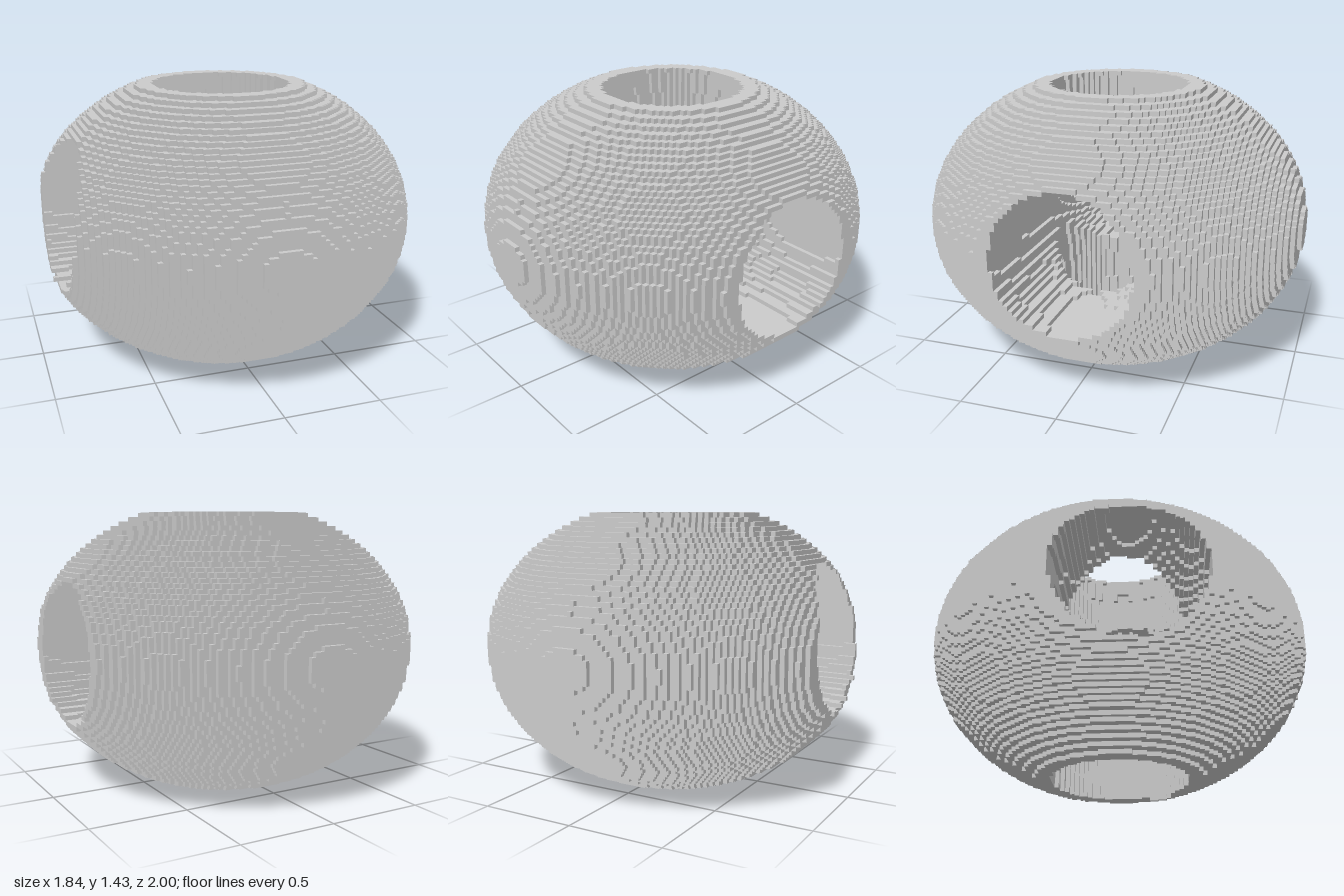
import * as THREE from 'three';

const V = 2 / 87;                 // edge of one cube
const CX = V / 2, CY = 31.5 * V;  // centre of the ellipsoid
const RX = 0.998, RY = 0.77;      // its horizontal and vertical radii

// Radius of a tunnel that bulges slightly between the core and the mouth
const bulge = (r, t) => r + 0.028 * Math.sin(Math.PI * t) ** 2;

// True where the cube at grid cell (i, j, k) is solid
function solid(i, j, k) {
  const x = i * V, y = j * V, z = k * V;
  if ((x * x + z * z) / (RX * RX) + (y * y) / (RY * RY) > 1) return false;
  // trimmed mouths of the side and upright tunnels
  if (i > 39 || i < -40 || j > 30 || j < -31) return false;
  // a few leftover cubes under the lower mouth
  if (j === -31 && (x < 0.04 || z < 0.14 || z > 0.27)) return false;
  // upright tunnel
  if (Math.hypot(x, z) < bulge(0.345, y / 0.96)) return false;
  // side tunnel, drifting up and forward and widening towards -x
  const s = THREE.MathUtils.clamp((0.6 - x) / 1.3, 0, 1);
  return Math.hypot(y - 0.07 * s, z - 0.09 * s) >= bulge(0.335 + 0.025 * s, x / 1.24);
}

// Outer faces of all the cubes
function cubeShell(nx, ny, nz) {
  const sx = 2 * nx + 1, sy = 2 * ny + 1, sz = 2 * nz + 1;
  const grid = new Uint8Array(sx * sy * sz);
  const at = (i, j, k) => ((i + nx) * sy + j + ny) * sz + k + nz;
  const each = (f) => {
    for (let i = -nx + 1; i < nx; i++)
      for (let j = -ny + 1; j < ny; j++)
        for (let k = -nz + 1; k < nz; k++) f(i, j, k);
  };
  each((i, j, k) => { grid[at(i, j, k)] = solid(i, j, k) ? 1 : 0; });

  const positions = [], normals = [], index = [];
  const corners = [[-1, -1], [1, -1], [1, 1], [-1, 1]];
  each((i, j, k) => {
    if (!grid[at(i, j, k)]) return;
    const c = [CX + i * V, CY + j * V, k * V];
    for (let axis = 0; axis < 3; axis++) {
      for (const side of [-1, 1]) {
        const n = [0, 0, 0];
        n[axis] = side;
        if (grid[at(i + n[0], j + n[1], k + n[2])]) continue;
        const first = positions.length / 3;
        const u = (axis + 1) % 3, w = (axis + 2) % 3;
        for (const [a, b] of corners) {
          const p = [...c];
          p[axis] += side * V / 2;
          p[u] += a * side * V / 2;   // mirrored on the negative side to keep the winding
          p[w] += b * V / 2;
          positions.push(...p);
          normals.push(...n);
        }
        index.push(first, first + 1, first + 2, first, first + 2, first + 3);
      }
    }
  });
  const geometry = new THREE.BufferGeometry();
  geometry.setAttribute('position', new THREE.Float32BufferAttribute(positions, 3));
  geometry.setAttribute('normal', new THREE.Float32BufferAttribute(normals, 3));
  geometry.setIndex(index);
  return geometry;
}

export function createModel() {
  const group = new THREE.Group();
  group.name = 'tunnelledBall';
  const ball = new THREE.Mesh(
    cubeShell(46, 36, 46),
    new THREE.MeshStandardMaterial({ color: 0xcccccc, flatShading: true })
  );
  ball.name = 'cubeBall';
  group.add(ball);
  return group;
}
